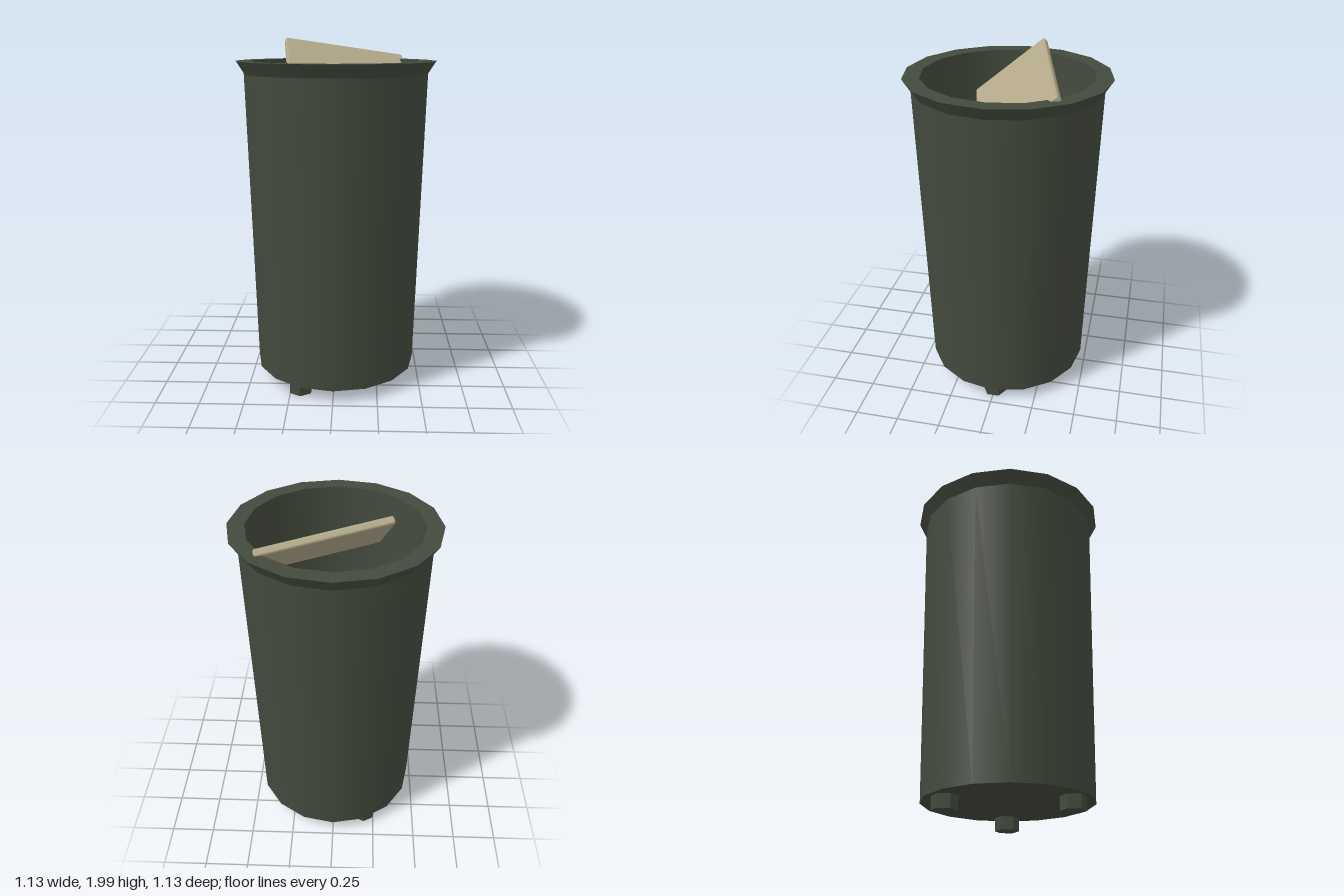
import * as THREE from 'three';
import { RoundedBoxGeometry } from 'three/addons/geometries/RoundedBoxGeometry.js';

const SIDES = 16;

export function createModel() {
  const model = new THREE.Group();
  model.name = 'litterBin';

  const green = new THREE.MeshStandardMaterial({ color: 0x434a3d });
  green.name = 'dark green metal';
  const beige = new THREE.MeshStandardMaterial({ color: 0xb2a787 });
  beige.name = 'beige board';
  const rust = new THREE.MeshStandardMaterial({ color: 0x503824 });
  rust.name = 'rust brown';

  function add(name, geometry, material) {
    const mesh = new THREE.Mesh(geometry, material);
    mesh.name = name;
    model.add(mesh);
    return mesh;
  }

  // Bin shell: one lathe per surface keeps the edges between them sharp
  const shell = [
    ['underside', [0, 0.075], [0.475, 0.075]],
    ['outerWall', [0.475, 0.075], [0.522, 1.8]],
    ['rimFlare', [0.522, 1.8], [0.567, 1.87]],
    ['rimTop', [0.567, 1.87], [0.474, 1.87]],
    ['innerWall', [0.474, 1.87], [0.428, 0.12]],
    ['floor', [0.428, 0.12], [0, 0.12]],
  ];
  for (const [name, from, to] of shell) {
    const points = [new THREE.Vector2(...from), new THREE.Vector2(...to)];
    add(name, new THREE.LatheGeometry(points, SIDES), green);
  }

  // Three hexagonal feet
  for (let i = 0; i < 3; i++) {
    const angle = (i * Math.PI * 2) / 3;
    const geometry = new THREE.CylinderGeometry(0.07, 0.07, 0.08, 6).toNonIndexed();
    geometry.computeVertexNormals();
    const foot = add('foot', geometry, green);
    foot.position.set(0.38 * Math.cos(angle), 0.04, 0.38 * Math.sin(angle));
  }

  // Discarded board leaning in the opening
  const across = new THREE.Vector3(0.675, -0.1, -0.18).normalize();
  const normal = new THREE.Vector3(0.06, -0.31, 0.38).cross(across).normalize();
  const down = across.clone().cross(normal);
  const board = add('board', new RoundedBoxGeometry(0.715, 0.042, 0.5, 1, 0.012), beige);
  board.quaternion.setFromRotationMatrix(new THREE.Matrix4().makeBasis(across, normal, down));
  board.position.set(0.072, 1.778, -0.052);

  // Rust stain on the floor
  const outline = [
    [0.11, 0.33], [0.12, 0.27], [0.17, 0.22], [0.27, 0.225], [0.31, 0.28],
    [0.26, 0.32], [0.2, 0.37], [0.15, 0.38], [0.12, 0.36],
  ].map(([x, z]) => new THREE.Vector2(x, -z));
  const stain = add('rustStain', new THREE.ShapeGeometry(new THREE.Shape(outline)), rust);
  stain.rotation.x = -Math.PI / 2;
  stain.position.y = 0.126;

  return model;
}
